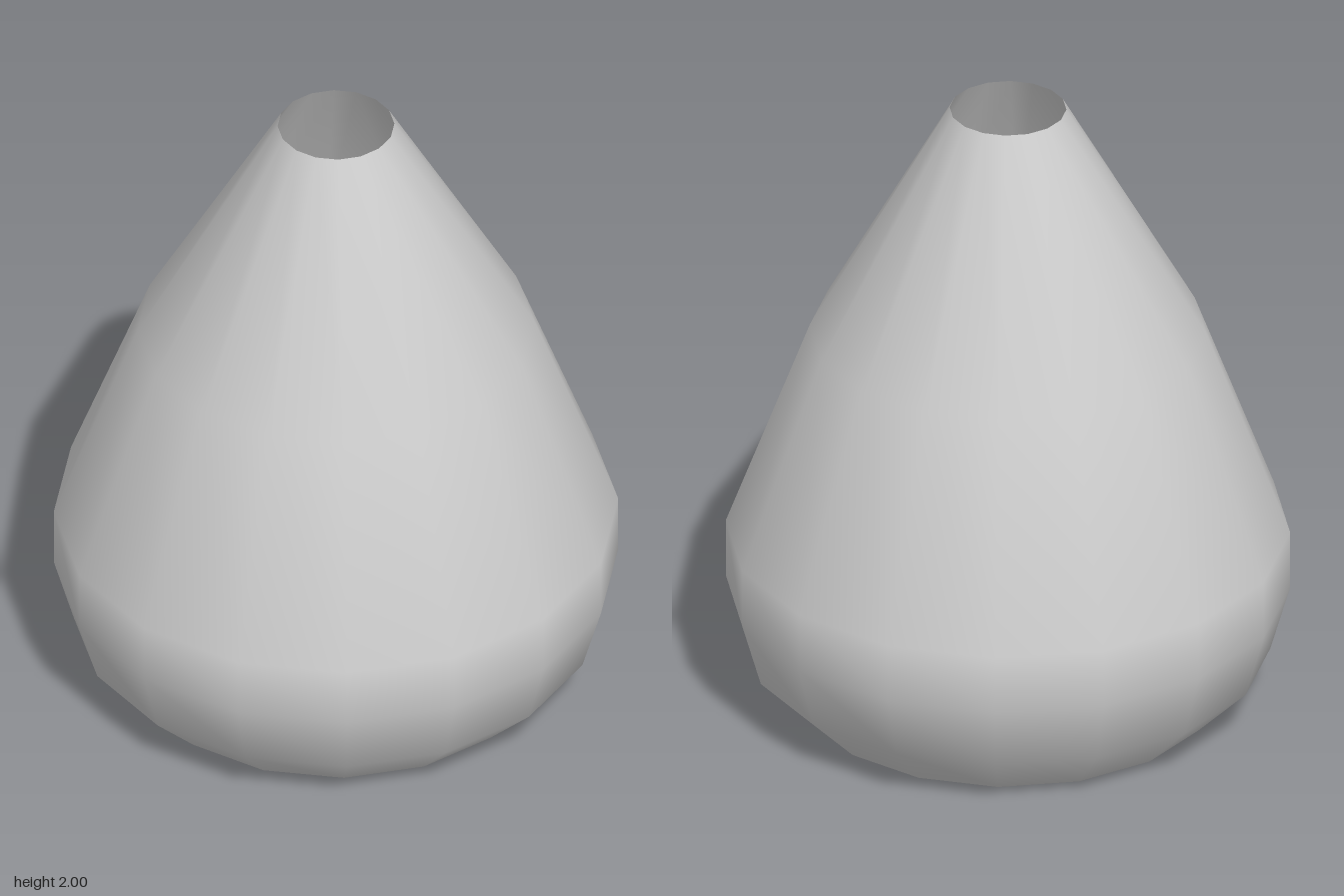
import * as THREE from 'three';

export function createModel() {
  const model = new THREE.Group();
  model.name = 'vase';

  // Outline of the wall from the open base to the open neck: radius, height
  const profile = [
    [0.64, 0], [0.8, 0.16], [0.86, 0.37], [0.86, 0.56], [0.604, 1.24], [0.178, 2],
  ].map(([r, y]) => new THREE.Vector2(r, y));

  // Thin sixteen-sided wall, open at both ends
  const wall = new THREE.Mesh(
    new THREE.LatheGeometry(profile, 16),
    new THREE.MeshStandardMaterial({ color: 0xcccccc, side: THREE.DoubleSide }),
  );
  wall.name = 'vaseWall';
  model.add(wall);

  return model;
}
